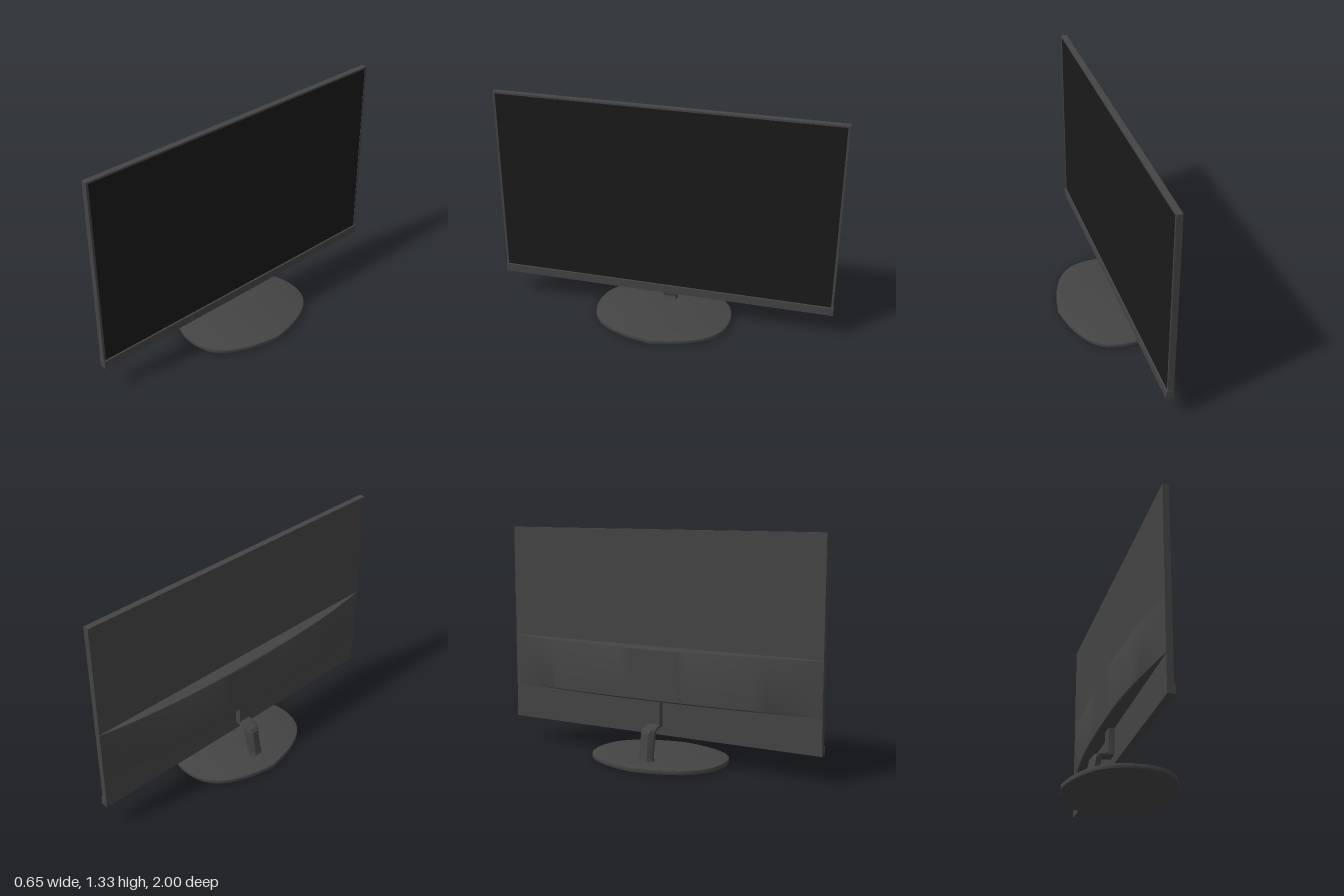
import * as THREE from 'three';
import { toCreasedNormals } from 'three/addons/utils/BufferGeometryUtils.js';
import { ParametricGeometry } from 'three/addons/geometries/ParametricGeometry.js';

const body = new THREE.MeshStandardMaterial({ color: 0x444444 });
const glass = new THREE.MeshStandardMaterial({ color: 0x1a1a1a });

function add(group, name, geometry, material = body) {
  const mesh = new THREE.Mesh(geometry, material);
  mesh.name = name;
  group.add(mesh);
}

// Box given by its limits on each axis
function box(x0, x1, y0, y1, z0, z1) {
  return new THREE.BoxGeometry(x1 - x0, y1 - y0, z1 - z0)
    .translate((x0 + x1) / 2, (y0 + y1) / 2, (z0 + z1) / 2);
}

const rectangle = (w, y0, y1) => [[-w, y0], [w, y0], [w, y1], [-w, y1]].map(p => new THREE.Vector2(...p));

// Thin bezel around the screen opening
function bezelGeometry() {
  const shape = new THREE.Shape(rectangle(0.998, 0.16, 1.325));
  shape.holes.push(new THREE.Path(rectangle(0.985, 0.2, 1.314)));
  return new THREE.ExtrudeGeometry(shape, { depth: 0.035, bevelEnabled: false })
    .rotateY(Math.PI / 2).translate(-0.04, 0, 0);
}

// Rear housing: bowed along z, with softened upper and lower edges
function housingGeometry() {
  const profile = [[0, 0.355], [0.04, 0.361], [0.93, 0.363], [1, 0.37], [1, 0.656], [0.95, 0.664], [0, 0.667]];
  const last = profile.length - 1;
  const geometry = new ParametricGeometry((u, v, target) => {
    const z = (u * 2 - 1) * 0.998;
    const depth = 0.002 + 0.077 * (1 - Math.abs(z) ** 2.4);
    const [d, y] = profile[Math.round(v * last)];
    target.set(-0.039 - depth * d, y, z);
  }, 48, last);
  return toCreasedNormals(geometry, 0.45);
}

// Neck: six-sided sections lofted from the housing down to the base
function neckGeometry() {
  // front x, front y, back x, back y, front half width, middle, back
  const stations = [
    [-0.04, 0.375, -0.073, 0.375, 0.04, 0.04, 0.038],
    [-0.04, 0.205, -0.073, 0.222, 0.04, 0.04, 0.038],
    [-0.095, 0.203, -0.15, 0.202, 0.04, 0.043, 0.024],
    [-0.108, 0.188, -0.167, 0.182, 0.036, 0.043, 0.02],
    [-0.137, 0.045, -0.19, 0.045, 0.036, 0.043, 0.02],
    [-0.128, 0.026, -0.198, 0.026, 0.043, 0.05, 0.026],
  ];
  const positions = [], index = [];
  stations.forEach(([fx, fy, bx, by, wf, wm, wb], s) => {
    const mx = fx + (bx - fx) * 0.55, my = fy + (by - fy) * 0.55;
    positions.push(fx, fy, wf, fx, fy, -wf, mx, my, -wm, bx, by, -wb, bx, by, wb, mx, my, wm);
    if (s === stations.length - 1) return;
    for (let i = 0; i < 6; i++) {
      const a = s * 6 + i, b = s * 6 + (i + 1) % 6;
      index.push(a, a + 6, b + 6, a, b + 6, b);
    }
  });
  const geometry = new THREE.BufferGeometry();
  geometry.setAttribute('position', new THREE.Float32BufferAttribute(positions, 3));
  geometry.setIndex(index);
  return toCreasedNormals(geometry, 0.3);
}

// Base plate: one curved quarter mirrored into a rounded, slightly pointed oval
function baseGeometry() {
  const b = 0.005;
  const quarter = new THREE.CatmullRomCurve3([
    [0.323, 0], [0.307, 0.09], [0.279, 0.19], [0.217, 0.31], [0.138, 0.378], [0.045, 0.405], [0, 0.407],
  ].map(([x, z]) => new THREE.Vector3(x - b * x / 0.323, z - b * z / 0.407, 0))).getPoints(16);
  const half = [...quarter, ...quarter.slice(0, -1).reverse().map(p => new THREE.Vector3(-p.x, p.y, 0))];
  const outline = [...half, ...half.slice(1, -1).reverse().map(p => new THREE.Vector3(p.x, -p.y, 0))];
  const shape = new THREE.Shape(outline.map(p => new THREE.Vector2(p.x, p.y)));
  const geometry = new THREE.ExtrudeGeometry(shape, {
    depth: 0.018, bevelSize: b, bevelThickness: b, bevelSegments: 2,
  }).rotateX(-Math.PI / 2).translate(0, b, 0);
  return toCreasedNormals(geometry, 0.5);
}

export function createModel() {
  const group = new THREE.Group();
  group.name = 'monitor';

  // Display, facing +x
  add(group, 'backPanel', box(-0.04, -0.012, 0.16, 1.32, -0.995, 0.995));
  add(group, 'bezel', bezelGeometry());
  add(group, 'screen', box(-0.02, -0.007, 0.2, 1.316, -0.986, 0.986), glass);
  add(group, 'chin', box(-0.04, 0.003, 0.155, 0.205, -1, 1));
  add(group, 'rearHousing', housingGeometry());

  // Stand
  add(group, 'neck', neckGeometry());
  add(group, 'base', baseGeometry());
  return group;
}
